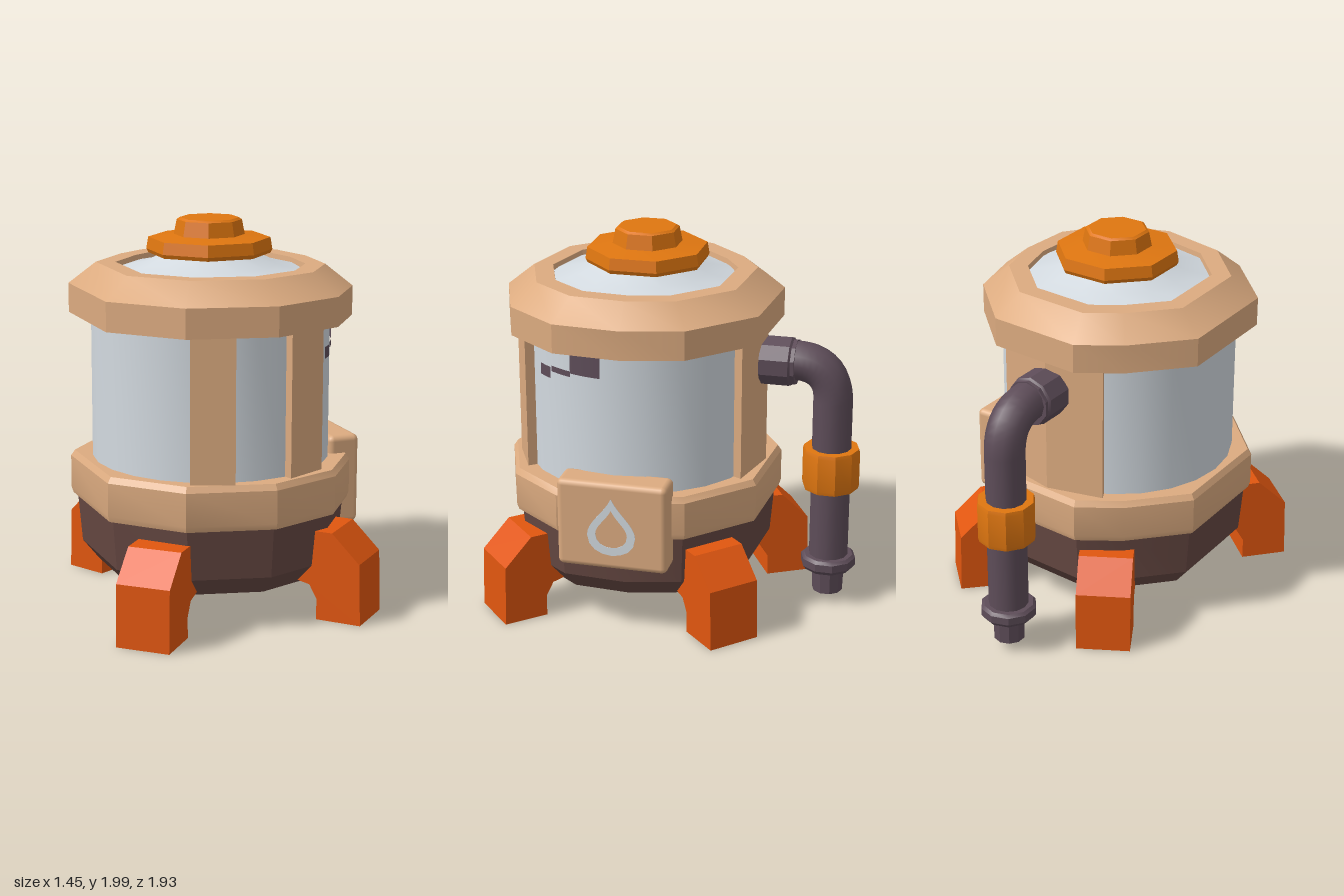
import * as THREE from 'three';
import { toCreasedNormals } from 'three/addons/utils/BufferGeometryUtils.js';
import { RoundedBoxGeometry } from 'three/addons/geometries/RoundedBoxGeometry.js';

const mat = (name, color, side = THREE.FrontSide) => {
  const m = new THREE.MeshStandardMaterial({ color, side });
  m.name = name;
  return m;
};
const rad = THREE.MathUtils.degToRad;

export function createModel() {
  const tan = mat('tan', 0xdcab80);
  const glass = mat('pale glass', 0xd3dae0, THREE.DoubleSide);
  const brown = mat('dark brown', 0x664842);
  const red = mat('red orange', 0xe0560f);
  const orange = mat('orange', 0xdf7610);
  const purple = mat('dark purple', 0x5e4d59, THREE.DoubleSide);

  const model = new THREE.Group();
  model.name = 'waterTank';
  const tank = new THREE.Group();
  tank.name = 'tank';
  tank.position.z = 0.17;
  model.add(tank);

  const add = (parent, name, geo, material, x = 0, y = 0, z = 0) => {
    const mesh = new THREE.Mesh(geo, material);
    mesh.name = name;
    mesh.position.set(x, y, z);
    parent.add(mesh);
    return mesh;
  };
  const vec = (pts) => pts.map(([r, y]) => new THREE.Vector2(r, y));
  const lathe = (pts, n, crease = 30) => toCreasedNormals(new THREE.LatheGeometry(vec(pts), n), rad(crease));

  // Hand-cut rings: a lathe whose corners sit at uneven angles
  const corners = [6, 38, 66, 95, 121, 156, 196, 216, 246, 294, 329, 366];
  const reach = [0.99, 1.01, 1, 0.95, 0.98, 1.01, 1.01, 0.97, 1.01, 1, 0.98, 0.99];
  const hewn = (pts) => {
    const geo = new THREE.LatheGeometry(vec(pts), 11);
    const pos = geo.attributes.position;
    for (let i = 0; i < pos.count; i++) {
      const c = Math.floor(i / pts.length), [r, y] = pts[i % pts.length];
      pos.setXYZ(i, r * reach[c] * Math.sin(rad(corners[c])), y, r * reach[c] * Math.cos(rad(corners[c])));
    }
    return toCreasedNormals(geo, rad(28));
  };
  add(tank, 'base', hewn([[0, 0.19], [0.58, 0.19], [0.665, 0.29], [0.69, 0.58]]), brown);
  add(tank, 'lowerRing', hewn([[0.6, 0.55], [0.71, 0.55], [0.72, 0.58], [0.72, 0.75], [0.7, 0.78], [0.55, 0.78]]), tan);
  add(tank, 'upperRing', hewn([[0.55, 1.51], [0.72, 1.51], [0.72, 1.66], [0.58, 1.77], [0.48, 1.77], [0.47, 1.7]]), tan);

  // Glass cylinder, dome and cap
  add(tank, 'glass', lathe([[0.61, 0.75], [0.61, 1.54]], 24), glass);
  add(tank, 'dome', lathe([[0.53, 1.73], [0.34, 1.77], [0.2, 1.84]], 12), glass);
  const cap = add(tank, 'cap', lathe([[0, 1.82], [0.31, 1.82], [0.32, 1.84], [0.31, 1.9], [0.18, 1.915],
    [0.165, 1.99], [0.15, 2], [0, 2]], 8), orange, 0, 0, -0.02);
  cap.rotation.y = Math.PI / 8;

  // Upright walls between the rings, given by start and end angle
  const wall = (name, a0, a1, steps) => {
    const pts = [];
    for (let i = 0; i <= steps; i++) {
      const a = rad(a0 + (a1 - a0) * i / steps);
      pts.push([0.655 * Math.sin(a), -0.655 * Math.cos(a)]);
    }
    for (const a of [a1, a0]) pts.push([0.5 * Math.sin(rad(a)), -0.5 * Math.cos(rad(a))]);
    const geo = new THREE.ExtrudeGeometry(new THREE.Shape(vec(pts)), { depth: 0.78, bevelEnabled: false });
    geo.rotateX(-Math.PI / 2);
    add(tank, name, geo, tan, 0, 0.75, 0);
  };
  wall('frontRightPost', -30, -10.5, 1);
  wall('frontLeftPost', 16, 37, 1);
  wall('backWall', 153, 207, 2);

  // Dark marks on the glass
  for (const [a0, a1, y0, y1] of [[68, 84, 1.38, 1.51], [56, 68, 1.36, 1.39], [47, 55, 1.32, 1.38]]) {
    add(tank, 'glassMark', new THREE.LatheGeometry(vec([[0.616, y0], [0.616, y1]]), 6, rad(a0), rad(a1 - a0)), purple);
  }

  // Bent legs
  const legShape = new THREE.Shape(vec([[0.5, 0.22], [0.63, 0.19], [0.67, 0.12], [0.67, 0.01], [0.91, 0.01],
    [0.9, 0.33], [0.75, 0.475], [0.5, 0.475]]));
  const legGeo = new THREE.ExtrudeGeometry(legShape, { depth: 0.28, bevelEnabled: false });
  legGeo.translate(0, 0, -0.14);
  for (const [name, angle, size] of [['frontLeftLeg', 43, 0.99], ['frontRightLeg', -42, 1.02],
    ['backLeftLeg', 135, 0.98], ['backRightLeg', 209, 0.97]]) {
    const leg = add(tank, name, legGeo, red);
    leg.rotation.y = rad(angle - 90);
    leg.scale.x = size;
  }

  // Outlet pipe with flange, collar and nozzle
  const pipe = new THREE.Group();
  pipe.name = 'outletPipe';
  model.add(pipe);
  const path = new THREE.CurvePath();
  const v = (y, z) => new THREE.Vector3(0, y, z);
  path.add(new THREE.LineCurve3(v(1.34, -0.45), v(1.34, -0.64)));
  path.add(new THREE.CubicBezierCurve3(v(1.34, -0.64), v(1.34, -0.76), v(1.27, -0.83), v(1.14, -0.83)));
  path.add(new THREE.LineCurve3(v(1.14, -0.83), v(0.22, -0.83)));
  add(pipe, 'pipe', new THREE.TubeGeometry(path, 48, 0.103, 12), purple);
  const flange = add(pipe, 'flange', lathe([[0.13, 0], [0.13, 0.15], [0.12, 0.16], [0.12, 0.18], [0, 0.18]], 10), purple, 0, 1.33, -0.46);
  flange.rotation.x = -Math.PI / 2;
  add(pipe, 'collar', lathe([[0.1, 0.66], [0.145, 0.66], [0.15, 0.68], [0.15, 0.86], [0.145, 0.88], [0.1, 0.88]], 10), orange, 0, 0, -0.83);
  add(pipe, 'nozzle', lathe([[0, 0.065], [0.08, 0.065], [0.085, 0.2], [0.13, 0.2], [0.145, 0.22], [0.145, 0.26],
    [0.13, 0.275], [0.09, 0.275]], 10), purple, 0, 0, -0.83);

  // Sign plate with a water drop outline
  add(model, 'signPlate', new RoundedBoxGeometry(0.17, 0.47, 0.57, 2, 0.03), tan, 0.64, 0.635, 0.155);
  const drop = (Kind, s) => {
    const d = new Kind();
    d.moveTo(0, 0.185 * s);
    d.bezierCurveTo(0.04 * s, 0.1 * s, 0.125 * s, 0.05 * s, 0.125 * s, -0.02 * s);
    d.bezierCurveTo(0.125 * s, -0.16 * s, -0.125 * s, -0.16 * s, -0.125 * s, -0.02 * s);
    d.bezierCurveTo(-0.125 * s, 0.05 * s, -0.04 * s, 0.1 * s, 0, 0.185 * s);
    return d;
  };
  const outline = drop(THREE.Shape, 1);
  outline.holes.push(drop(THREE.Path, 0.66));
  const dropGeo = new THREE.ExtrudeGeometry(outline, { depth: 0.008, bevelEnabled: false, curveSegments: 8 });
  dropGeo.rotateY(Math.PI / 2);
  add(model, 'waterDrop', dropGeo, glass, 0.72, 0.605, 0.155);

  return model;
}
